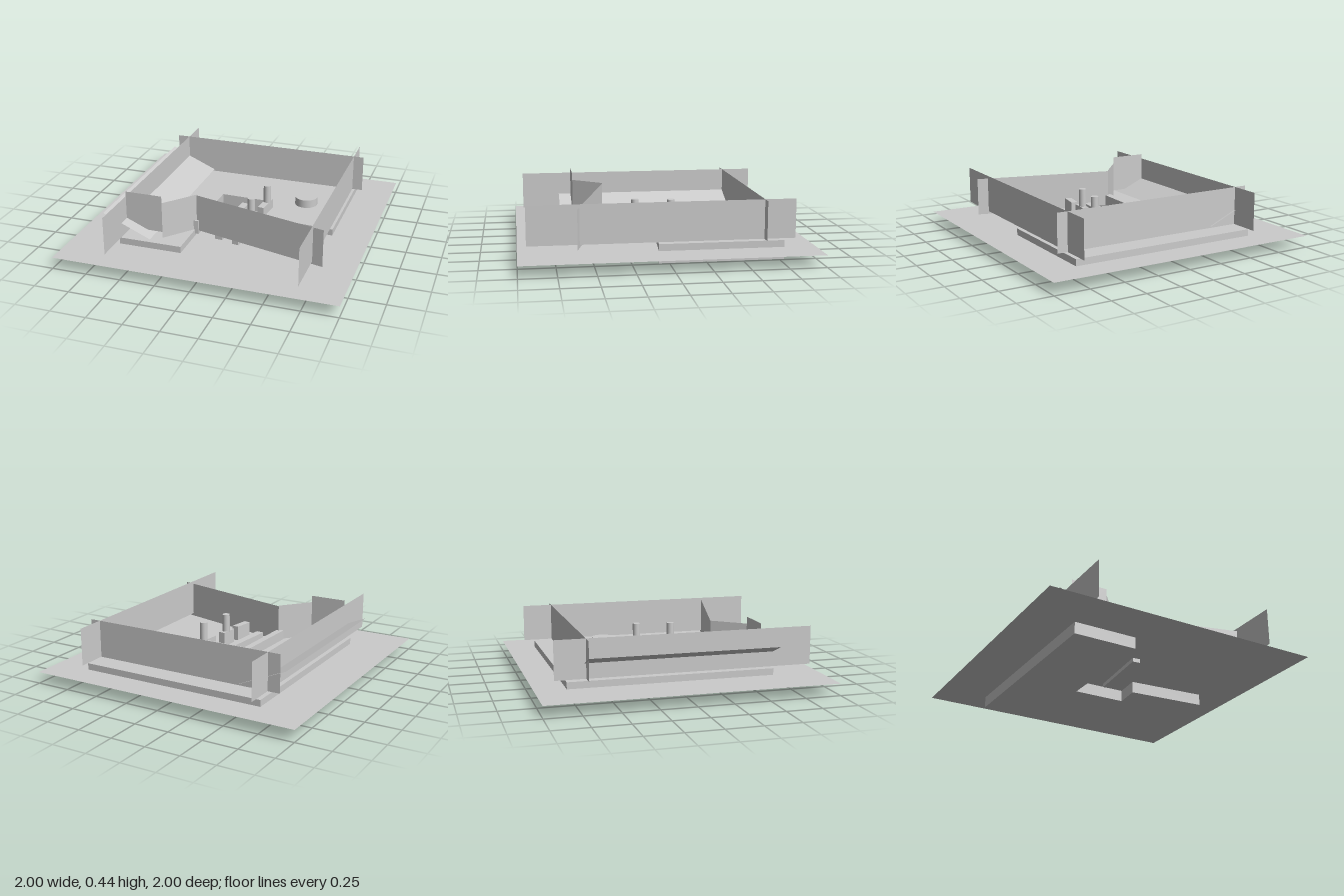
import * as THREE from 'three';

const solid = new THREE.MeshStandardMaterial({ color: 0xcccccc });
const thin = new THREE.MeshStandardMaterial({ color: 0xcccccc, side: THREE.DoubleSide });

export function createModel() {
  const group = new THREE.Group();

  const add = (name, geometry, material = solid) => {
    const mesh = new THREE.Mesh(geometry, material);
    mesh.name = name;
    group.add(mesh);
    return mesh;
  };

  // Upright prism from a plan outline of [x, z] points
  const prism = (name, plan, y0, y1) => {
    const shape = new THREE.Shape(plan.map(([x, z]) => new THREE.Vector2(x, -z)));
    const geometry = new THREE.ExtrudeGeometry(shape, { depth: y1 - y0, bevelEnabled: false });
    geometry.rotateX(-Math.PI / 2).translate(0, y0, 0);
    return add(name, geometry);
  };

  // Thin upright wall between two plan points
  const wall = (name, [xa, za], [xb, zb], y0, y1) => {
    const geometry = new THREE.PlaneGeometry(Math.hypot(xb - xa, zb - za), y1 - y0);
    const mesh = add(name, geometry, thin);
    mesh.position.set((xa + xb) / 2, (y0 + y1) / 2, (za + zb) / 2);
    mesh.rotation.y = -Math.atan2(zb - za, xb - xa);
  };

  const cylinder = (name, x, z, radius, y0, y1) => {
    const mesh = add(name, new THREE.CylinderGeometry(radius, radius, y1 - y0, 32));
    mesh.position.set(x, (y0 + y1) / 2, z);
  };

  // Square ground sheet, cutting through the foundation
  const ground = add('ground', new THREE.PlaneGeometry(2, 2), thin);
  ground.rotation.x = -Math.PI / 2;
  ground.position.y = 0.083;

  // L-shaped foundation
  prism('foundation', [
    [-0.65, 0.66], [-0.195, 0.66], [-0.195, -0.165], [0.185, -0.16], [0.168, 0.025],
    [0.73, 0.07], [0.73, -0.785], [-0.65, -0.785],
  ], 0, 0.13);

  // Boundary walls
  wall('leftWall', [0.715, 0.94], [0.715, -0.865], 0.14, 0.41);
  wall('rightWall', [-0.63, 0.94], [-0.63, -0.865], 0.14, 0.41);
  wall('backWall', [-0.72, -0.65], [0.79, -0.65], 0.14, 0.41);
  wall('frontWallStep', [-0.63, 0.57], [-0.363, 0.57], 0.175, 0.445);
  wall('frontWallReturn', [-0.363, 0.57], [-0.187, 0.36], 0.13, 0.395);
  wall('frontWall', [-0.187, 0.36], [0.79, 0.61], 0.12, 0.39);

  // Sloping panel through the right wall
  const run = 0.345, rise = 0.15;
  const slope = add('slopingPanel', new THREE.PlaneGeometry(Math.hypot(run, rise), 1.325)
    .rotateX(-Math.PI / 2), thin);
  slope.position.set(-0.592, 0.228, 0);
  slope.rotation.z = -Math.atan2(rise, run);

  // Courtyard kerb and blocks
  prism('courtyardKerb', [
    [-0.22, 0.38], [-0.17, 0.38], [-0.155, -0.115], [0.17, -0.105], [0.157, 0.018],
    [0.205, 0.025], [0.223, -0.155], [-0.2, -0.168],
  ], 0.1, 0.2);
  prism('middleBar', [[-0.045, 0.38], [0.01, 0.385], [0.048, -0.105], [-0.002, -0.11]], 0.055, 0.155);
  prism('frontBlock', [[0.1, 0.43], [0.148, 0.438], [0.172, 0.29], [0.124, 0.285]], 0.09, 0.2);
  prism('innerBlock', [[0.123, 0.227], [0.17, 0.232], [0.184, 0.105], [0.135, 0.1]], 0.095, 0.2);

  // Columns and round plinth
  cylinder('backColumn', 0.195, -0.095, 0.027, 0.19, 0.33);
  cylinder('frontColumn', 0.152, 0.157, 0.027, 0.19, 0.33);
  cylinder('roundPlinth', 0.44, -0.3, 0.083, 0.12, 0.19);

  return group;
}
